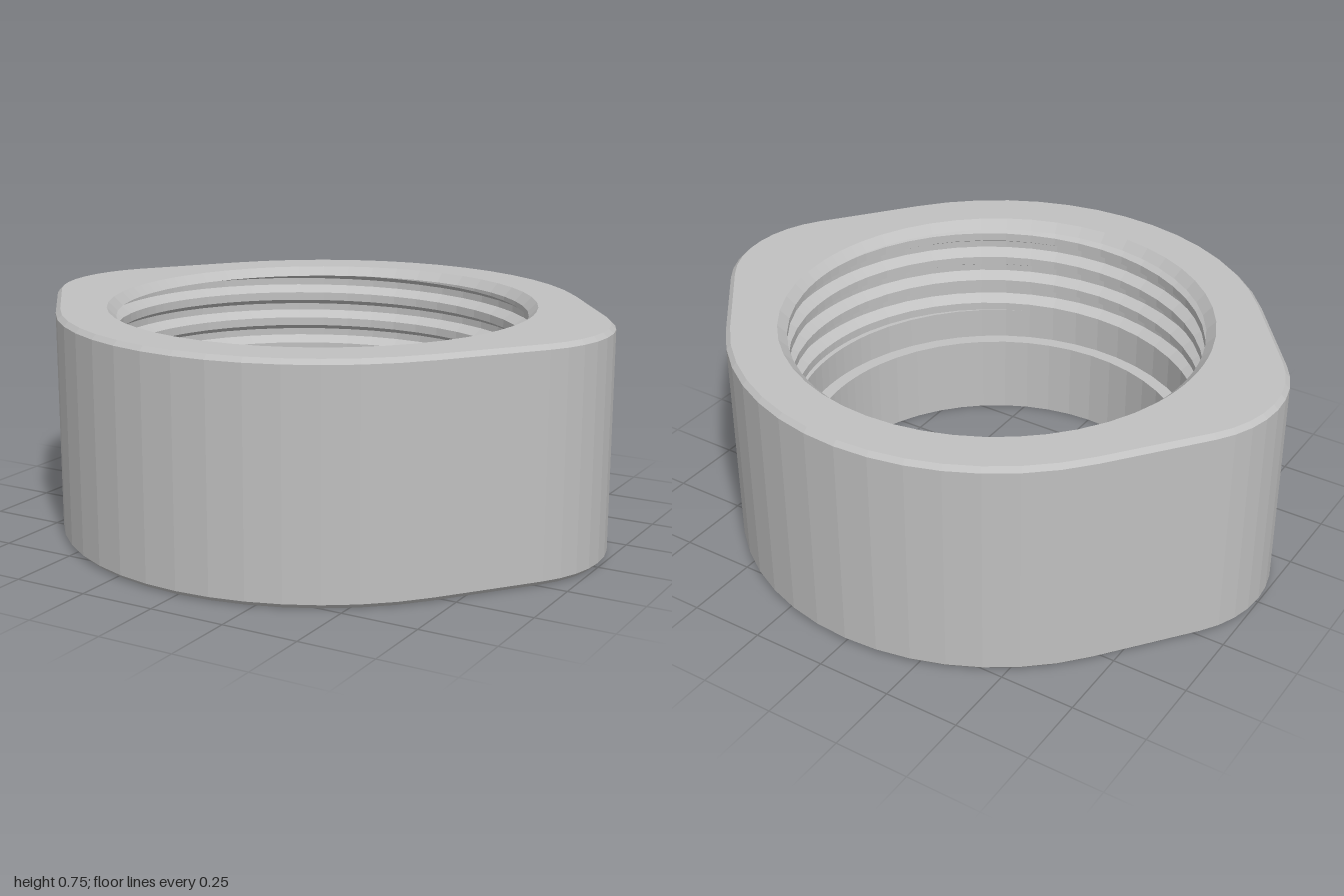
import * as THREE from 'three';

const HEIGHT = 0.75, CHAMFER = 0.015;
const BIG_R = 0.875, TIP_R = 0.4, TIP_X = 0.6;          // round sides and the two pointed ends
const BORE_R = 0.635, CREST_R = 0.68, GROOVE_R = 0.715; // through hole, thread crest and root
const LEDGE_Y = 0.28, THREAD_LO = 0.39, THREAD_HI = 0.72, PITCH = 0.095;

// First quadrant of the outline: tip arc, tangent line, side arc; each entry has its outward normal
function quadrant() {
  const t = Math.acos((BIG_R - TIP_R) / TIP_X);
  const arc = (cx, r, a) => ({ x: cx + r * Math.cos(a), z: r * Math.sin(a), nx: Math.cos(a), nz: Math.sin(a) });
  const pts = [];
  for (let i = 0; i < 4; i++) pts.push(arc(TIP_X, TIP_R, t * i / 4));
  const a = arc(TIP_X, TIP_R, t), b = arc(0, BIG_R, t);
  for (let i = 0; i < 3; i++) {
    const k = i / 3;
    pts.push({ x: a.x + (b.x - a.x) * k, z: a.z + (b.z - a.z) * k, nx: a.nx, nz: a.nz });
  }
  for (let i = 0; i <= 7; i++) pts.push(arc(0, BIG_R, t + (Math.PI / 2 - t) * i / 7));
  return pts;
}

// Full outline, counter-clockwise from above, closed with a repeat of the first point
function outline() {
  const q = quadrant();
  const half = q.concat(q.slice(0, -1).reverse().map(p => ({ ...p, x: -p.x, nx: -p.nx })));
  const back = half.slice(1).map(p => ({ x: -p.x, z: -p.z, nx: -p.nx, nz: -p.nz }));
  const all = half.concat(back);
  all.forEach((p, i) => {
    p.angle = Math.atan2(p.z, p.x);
    if (i > 0 && p.angle < all[i - 1].angle - 1e-6) p.angle += 2 * Math.PI;
  });
  all[all.length - 1].angle = 2 * Math.PI;
  return all;
}
const OUTLINE = outline();

// Loops: offset outline, plain circle, helical circle clamped to the threaded zone
const edge = (inset, y) => OUTLINE.map(p => new THREE.Vector3(p.x - p.nx * inset, y, -(p.z - p.nz * inset)));
const circle = (r, y) => OUTLINE.map(p => new THREE.Vector3(r * Math.cos(p.angle), y, -r * Math.sin(p.angle)));
const helix = (r, y) => OUTLINE.map(p => new THREE.Vector3(
  r * Math.cos(p.angle),
  THREE.MathUtils.clamp(y + PITCH * p.angle / (2 * Math.PI), THREAD_LO, THREAD_HI),
  -r * Math.sin(p.angle)));

// Faceted skin across successive loops
function skin(name, loops, material) {
  const pos = [];
  const tri = new THREE.Triangle();
  const add = (a, b, c) => {
    if (tri.set(a, b, c).getArea() > 1e-9) pos.push(...a.toArray(), ...b.toArray(), ...c.toArray());
  };
  for (let j = 0; j < loops.length - 1; j++) {
    const lo = loops[j], hi = loops[j + 1];
    for (let i = 0; i < lo.length - 1; i++) {
      add(lo[i], lo[i + 1], hi[i + 1]);
      add(lo[i], hi[i + 1], hi[i]);
    }
  }
  const geo = new THREE.BufferGeometry();
  geo.setAttribute('position', new THREE.Float32BufferAttribute(pos, 3));
  geo.computeVertexNormals();
  const mesh = new THREE.Mesh(geo, material);
  mesh.name = name;
  return mesh;
}

export function createModel() {
  const steel = new THREE.MeshStandardMaterial({ color: 0xc0c0c0 });
  steel.name = 'plain grey';
  const group = new THREE.Group();
  group.name = 'threadedCollar';

  // Underside, chamfered outer wall, top face and lead-in chamfer
  group.add(skin('outerBody', [
    circle(BORE_R, 0), edge(CHAMFER, 0), edge(0, CHAMFER),
    edge(0, HEIGHT - CHAMFER), edge(CHAMFER, HEIGHT),
    circle(0.71, HEIGHT), circle(CREST_R, THREAD_HI),
  ], steel));

  // Internal screw thread, wound from top to bottom
  const turns = [];
  for (let y = THREAD_HI + PITCH; y > THREAD_LO - 2 * PITCH; y -= PITCH) {
    for (const [r, drop] of [[CREST_R, 0], [CREST_R, 0.3], [GROOVE_R, 0.5], [GROOVE_R, 0.75]]) {
      turns.push(helix(r, y - drop * PITCH));
    }
  }
  turns.push(circle(CREST_R, THREAD_LO));
  group.add(skin('innerThread', turns, steel));

  // Smooth relief below the thread, ledge and narrower through hole
  group.add(skin('bore', [
    circle(CREST_R, THREAD_LO), circle(CREST_R, LEDGE_Y), circle(BORE_R, LEDGE_Y), circle(BORE_R, 0),
  ], steel));

  return group;
}
